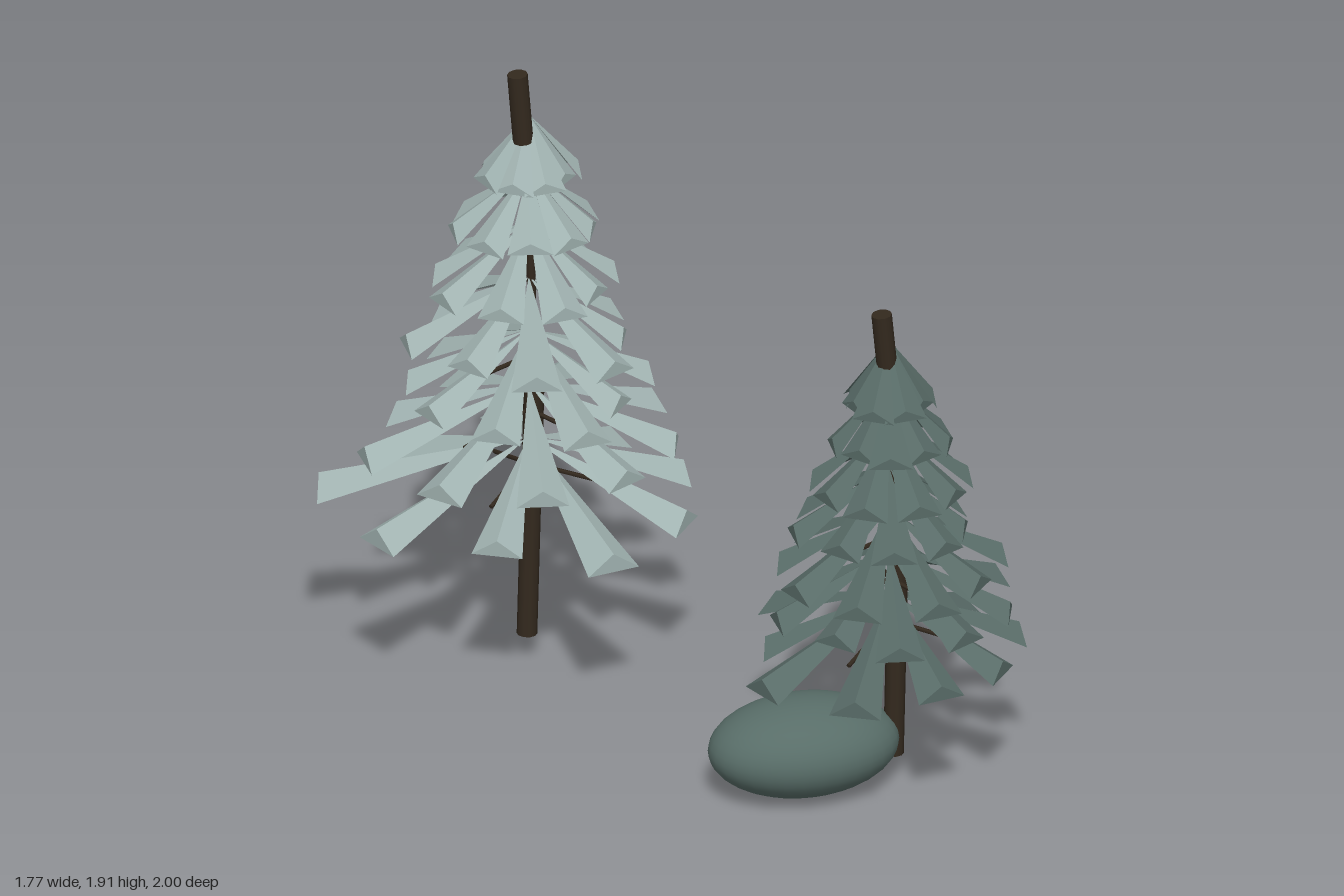
import * as THREE from 'three';

const V = (x, y, z) => new THREE.Vector3(x, y, z);
const material = (name, color, extra = {}) => {
  const m = new THREE.MeshStandardMaterial({ color, ...extra });
  m.name = name;
  return m;
};

// small seeded generator for natural variation
function seeded(seed) {
  return () => (seed = (seed * 16807) % 2147483647) / 2147483647;
}

// straight round limb between two points
function limb(name, a, b, radius, mat, sides = 10) {
  const dir = b.clone().sub(a);
  const mesh = new THREE.Mesh(new THREE.CylinderGeometry(radius, radius, dir.length(), sides), mat);
  mesh.name = name;
  mesh.position.copy(a).add(b).multiplyScalar(0.5);
  mesh.quaternion.setFromUnitVectors(V(0, 1, 0), dir.normalize());
  return mesh;
}

// one ring of wedge fronds: each is a ridged pyramid widening outward
function frondRing(reach, drop, startAngle) {
  const points = [];
  reach.forEach((r, k) => {
    const a = startAngle + (k * 2 * Math.PI) / reach.length;
    const c = Math.cos(a), s = Math.sin(a);
    const half = 0.06 + 0.04 * r;
    const apex = V(0, 0, 0);
    const ridge = V(c * r, -drop + 0.025 + 0.06 * r, s * r);
    const left = V(c * r - s * half, -drop, s * r + c * half);
    const right = V(c * r + s * half, -drop, s * r - c * half);
    points.push(apex, left, ridge, apex, ridge, right, ridge, left, right, apex, right, left);
  });
  const geometry = new THREE.BufferGeometry().setFromPoints(points);
  geometry.computeVertexNormals();
  return geometry;
}

function makeTree(name, spec, needles, bark) {
  const tree = new THREE.Group();
  tree.name = name;
  const random = seeded(spec.seed);
  const [cx, cz] = spec.center;

  // lower trunk, thin leader hidden by the fronds, and bare top
  for (const [part, radius, a, b] of spec.trunk) {
    tree.add(limb(part, V(...a), V(...b), radius, bark));
  }

  // tiers from top to bottom; four reaches are given toward +x, +z, -x, -z
  spec.tiers.forEach((list, i) => {
    const start = ((spec.tiers.length - 1 - i) * 21 * Math.PI) / 180;
    const reach = list.length === 9 ? list : Array.from({ length: 9 }, (_, k) => {
      const quarter = (start + (k * 2 * Math.PI) / 9) / (Math.PI / 2);
      const side = Math.round(quarter);
      return list[side % 4] * (1 - 0.5 * Math.abs(quarter - side) * random());
    });
    const apexY = spec.topY - i * spec.step;
    const tier = new THREE.Mesh(frondRing(reach, spec.drop, start), needles);
    tier.name = 'frondTier';
    tier.position.set(cx, apexY, cz);
    tree.add(tier);

    // twigs in the gaps between the long lower fronds
    if (i < 4) return;
    for (let k = 0; k < 9; k += 3) {
      const a = start + ((k + 0.5) * 2 * Math.PI) / 9;
      const r = reach[k] * 0.5;
      const y = apexY - spec.drop;
      tree.add(limb('twig', V(cx, y + 0.11, cz),
        V(cx + Math.cos(a) * r, y + 0.05, cz + Math.sin(a) * r), 0.007, bark, 5));
    }
  });
  return tree;
}

export function createModel() {
  const model = new THREE.Group();
  model.name = 'pineGrove';
  const paleNeedles = material('paleNeedles', 0xa0b2b0, { flatShading: true });
  const deepNeedles = material('deepNeedles', 0x586b67, { flatShading: true });
  const bushGreen = material('bushGreen', 0x586d68);
  const bark = material('bark', 0x33291e);

  model.add(makeTree('tallTree', {
    seed: 17, center: [-0.29, -0.47], topY: 1.76, step: 0.174, drop: 0.195,
    trunk: [
      ['trunk', 0.03, [-0.295, 0.08, -0.47], [-0.272, 0.93, -0.47]],
      ['leader', 0.013, [-0.275, 0.9, -0.47], [-0.295, 1.72, -0.465]],
      ['bareTop', 0.03, [-0.315, 1.69, -0.442], [-0.333, 1.91, -0.44]],
    ],
    tiers: [
      [0.15, 0.14, 0.15, 0.15],
      [0.2, 0.19, 0.23, 0.22],
      [0.26, 0.28, 0.3, 0.27],
      [0.3, 0.37, 0.37, 0.34],
      [0.36, 0.43, 0.36, 0.39],
      [0.43, 0.4, 0.42, 0.46, 0.495, 0.42, 0.44, 0.47, 0.44],
      [0.47, 0.5, 0.55, 0.4, 0.55, 0.61, 0.44, 0.525, 0.43],
    ],
  }, paleNeedles, bark));

  model.add(makeTree('shortTree', {
    seed: 91, center: [0.485, 0.585], topY: 1.42, step: 0.136, drop: 0.2,
    trunk: [
      ['trunk', 0.03, [0.5, 0.08, 0.58], [0.515, 0.75, 0.58]],
      ['leader', 0.013, [0.51, 0.72, 0.58], [0.485, 1.38, 0.59]],
      ['bareTop', 0.03, [0.472, 1.35, 0.607], [0.455, 1.52, 0.61]],
    ],
    tiers: [
      [0.13, 0.14, 0.13, 0.14],
      [0.18, 0.17, 0.17, 0.16],
      [0.24, 0.24, 0.24, 0.22],
      [0.25, 0.26, 0.29, 0.3],
      [0.34, 0.36, 0.34, 0.34],
      [0.38, 0.34, 0.34, 0.37],
      [0.395, 0.36, 0.34, 0.43, 0.46, 0.36, 0.45, 0.36, 0.37],
    ],
  }, deepNeedles, bark));

  // rounded bush beside the short trunk
  const bush = new THREE.Mesh(new THREE.SphereGeometry(1, 32, 20), bushGreen);
  bush.name = 'bush';
  bush.scale.set(0.284, 0.143, 0.2);
  bush.position.set(0.228, 0.145, 0.578);
  model.add(bush);

  return model;
}
